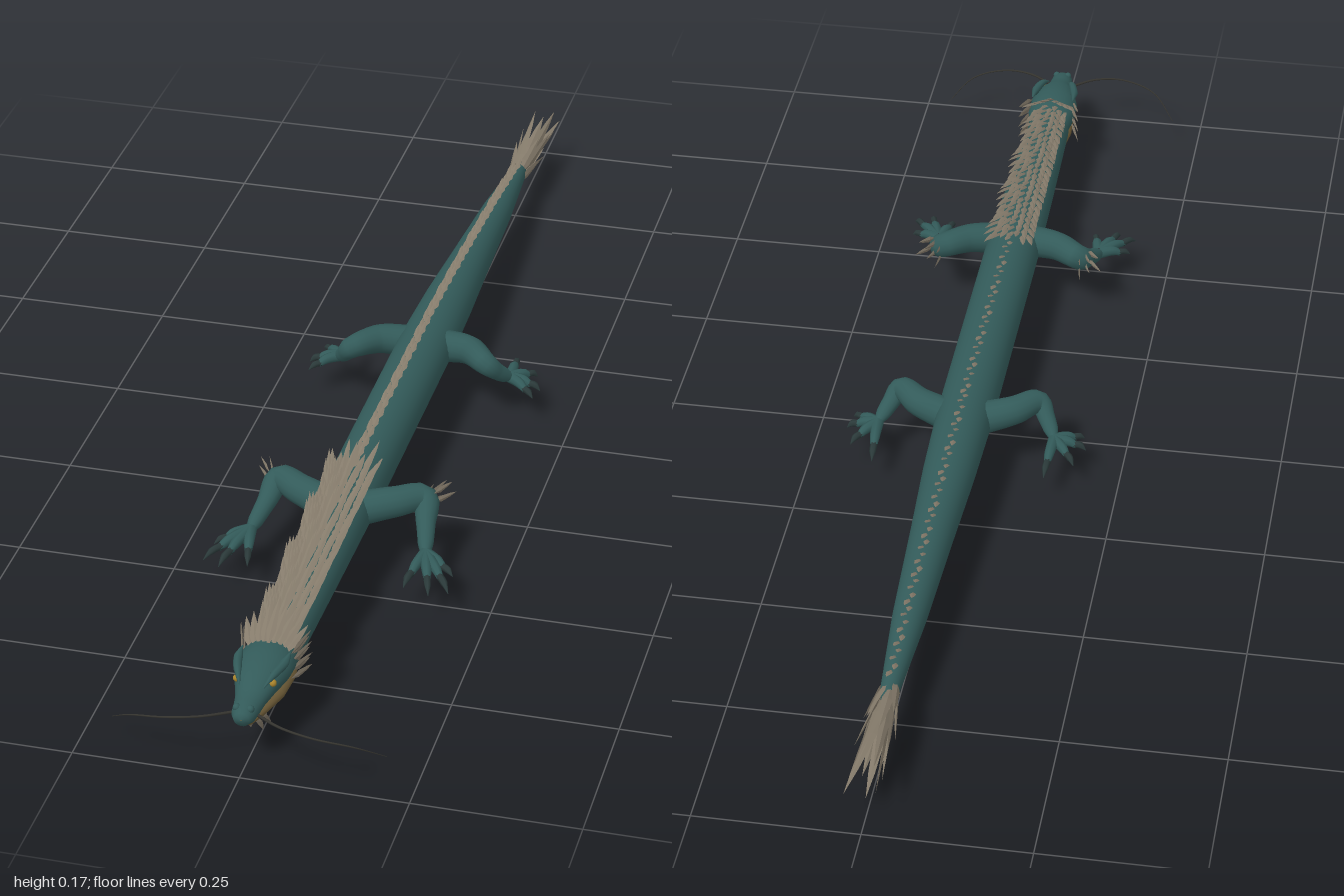
import * as THREE from 'three';
import { mergeGeometries } from 'three/addons/utils/BufferGeometryUtils.js';

const mat = (name, color) => {
  const m = new THREE.MeshStandardMaterial({ color });
  m.name = name;
  return m;
};
const V = (x, y, z) => new THREE.Vector3(x, y, z);

// sections along z, front to back: [z, centre y, half width, half height]
const BODY = [
  [0.87, 0.088, 0.03, 0.028], [0.8, 0.087, 0.036, 0.034], [0.6, 0.093, 0.041, 0.04],
  [0.4, 0.098, 0.045, 0.045], [-0.1, 0.098, 0.045, 0.045], [-0.25, 0.095, 0.041, 0.042],
  [-0.4, 0.09, 0.034, 0.037], [-0.6, 0.083, 0.026, 0.028], [-0.77, 0.075, 0.014, 0.016],
  [-0.82, 0.073, 0.001, 0.001],
];
const HEAD = [
  [0.985, 0.088, 0.001, 0.001], [0.983, 0.088, 0.012, 0.011], [0.972, 0.089, 0.018, 0.016],
  [0.955, 0.089, 0.02, 0.017], [0.935, 0.092, 0.023, 0.018], [0.91, 0.098, 0.031, 0.023],
  [0.87, 0.1, 0.041, 0.028], [0.835, 0.097, 0.041, 0.03], [0.8, 0.093, 0.034, 0.028],
  [0.76, 0.09, 0.02, 0.02],
];
const JAW = [
  [0.968, 0.072, 0.001, 0.001], [0.962, 0.072, 0.012, 0.007], [0.93, 0.069, 0.021, 0.011],
  [0.88, 0.067, 0.034, 0.015], [0.83, 0.067, 0.037, 0.016], [0.77, 0.07, 0.03, 0.018],
  [0.72, 0.075, 0.02, 0.018],
];

function loft(sections, n = 24) {
  const pos = [], idx = [];
  sections.forEach(([z, y, rx, ry], i) => {
    for (let j = 0; j < n; j++) {
      const a = (j / n) * Math.PI * 2;
      pos.push(Math.cos(a) * rx, y + Math.sin(a) * ry, z);
      if (i === sections.length - 1) continue;
      const p = i * n + j, q = i * n + ((j + 1) % n);
      idx.push(p, p + n, q, q, p + n, q + n);
    }
  });
  const g = new THREE.BufferGeometry();
  g.setAttribute('position', new THREE.Float32BufferAttribute(pos, 3));
  g.setIndex(idx);
  g.computeVertexNormals();
  return g;
}

function sample(sections, z) {
  let i = 0;
  while (i < sections.length - 2 && z < sections[i + 1][0]) i++;
  const a = sections[i], b = sections[i + 1];
  const t = (a[0] - z) / (a[0] - b[0]);
  return a.map((v, k) => v + (b[k] - v) * t);
}

// tube whose radius follows a list spread evenly along its path
function taper(points, radii, seg = 20, sides = 12) {
  const curve = new THREE.CatmullRomCurve3(points);
  const g = new THREE.TubeGeometry(curve, seg, 1, sides);
  const p = g.attributes.position, nrm = g.attributes.normal;
  for (let i = 0; i <= seg; i++) {
    const c = curve.getPointAt(i / seg);
    const f = (i / seg) * (radii.length - 1), k = Math.min(Math.floor(f), radii.length - 2);
    const r = radii[k] + (radii[k + 1] - radii[k]) * (f - k);
    for (let j = 0; j <= sides; j++) {
      const v = i * (sides + 1) + j;
      p.setXYZ(v, c.x + nrm.getX(v) * r, c.y + nrm.getY(v) * r, c.z + nrm.getZ(v) * r);
    }
  }
  return g;
}

// ridged leaf-shaped blade, broad along the given axis
const leaf = new THREE.LatheGeometry([[0, 0], [0.5, 0.35], [0.3, 0.72], [0, 1]].map(([x, y]) => new THREE.Vector2(x, y)), 4)
  .toNonIndexed();
leaf.computeVertexNormals();
function blade(base, dir, length, width, wide = V(1, 0, 0)) {
  const y = dir.clone().normalize();
  const z = wide.clone().cross(y).normalize(), x = y.clone().cross(z);
  const m = new THREE.Matrix4().makeBasis(x, y, z).setPosition(base);
  return leaf.clone().scale(width, length, width * 0.3).applyMatrix4(m);
}

export function createModel() {
  const root = new THREE.Group();
  const skin = mat('teal skin', 0x335b5a), hair = mat('tan spines', 0x857b6b), throat = mat('ochre throat', 0x6e5c38);
  const claw = mat('dark claws', 0x2b3a3a), eye = mat('amber eyes', 0xa8842c), whisker = mat('dark whiskers', 0x35342f);
  const add = (name, geo, m, parent = root) => {
    const mesh = new THREE.Mesh(geo, m);
    mesh.name = name;
    parent.add(mesh);
    return mesh;
  };

  add('body', loft(BODY, 32), skin);
  add('head', loft(HEAD), skin);
  add('lowerJaw', loft(JAW), throat);

  // mane: staggered rows on neck and shoulders
  const mane = [];
  for (let i = 0; i < 24; i++) {
    for (let r = -3; r <= 3; r++) {
      const z = 0.385 + i * 0.0195 + (r % 2 ? 0.009 : 0);
      const [, y, rx, ry] = sample(BODY, z);
      const a = r * 0.21;
      const wobble = Math.sin(i * 7.3 + r * 4.1);
      mane.push(blade(V(Math.sin(a) * rx * 0.96, y + Math.cos(a) * ry * 0.96, z),
        V(Math.sin(a) * 0.45, 0.38 - Math.abs(r) * 0.04 + wobble * 0.1, -1), 0.062 + wobble * 0.012, 0.011));
    }
  }
  // crown fan behind the forehead
  for (let r = -4; r <= 4; r++) {
    mane.push(blade(V(r * 0.006, 0.122 - Math.abs(r) * 0.002, 0.85),
      V(r * 0.1, 0.6 - Math.abs(r) * 0.06, -1), 0.085 - Math.abs(r) * 0.005, 0.014));
  }
  add('mane', mergeGeometries(mane), hair);

  // spine ridge down the back to the tail
  const ridge = [];
  for (let i = 0; i < 76; i++) {
    const z = 0.385 - i * 0.015;
    const [, y, , ry] = sample(BODY, z);
    const side = i % 2 ? 1 : -1;
    ridge.push(blade(V(side * 0.002, y + ry * 0.97, z), V(side * 0.08, 0.42 + 0.1 * Math.sin(i * 5), -1), 0.03, 0.01));
  }
  add('spineRidge', mergeGeometries(ridge), hair);

  // tail tuft
  const tuft = [];
  for (let i = 0; i < 18; i++) {
    const a = i * 2.4, spread = 0.24 - i * 0.009;
    tuft.push(blade(V(Math.cos(a) * 0.009, 0.075 + Math.sin(a) * 0.009, -0.735 - i * 0.004),
      V(Math.cos(a) * spread * 0.75, Math.sin(a) * spread, -1), 0.1 + i * 0.0055, 0.017, V(-Math.sin(a), Math.cos(a), 0)));
  }
  tuft.push(blade(V(0, 0.074, -0.79), V(0.12, -0.02, -1), 0.21, 0.016));
  add('tailTuft', mergeGeometries(tuft), hair);

  // beard
  const beard = [blade(V(0, 0.062, 0.9), V(0, -1, -0.65), 0.075, 0.017)];
  for (const s of [-1, 1]) {
    beard.push(blade(V(s * 0.007, 0.06, 0.915), V(s * 0.16, -1, -0.7), 0.058, 0.014),
      blade(V(s * 0.016, 0.062, 0.88), V(s * 0.2, -0.6, -1), 0.045, 0.013),
      blade(V(s * 0.006, 0.06, 0.93), V(s * 0.08, -1, -0.6), 0.045, 0.012));
  }
  add('beard', mergeGeometries(beard), hair);

  for (const s of [-1, 1]) {
    const P = (x, y, z) => V(s * x, y, z);
    const side = s > 0 ? 'left' : 'right';

    // face
    const eyeball = add(side + 'Eye', new THREE.SphereGeometry(0.0055, 12, 8), eye);
    eyeball.position.set(s * 0.027, 0.109, 0.913);
    add(side + 'Brow', taper([P(0.018, 0.11, 0.93), P(0.026, 0.119, 0.91), P(0.034, 0.121, 0.88), P(0.036, 0.122, 0.85)],
      [0.001, 0.006, 0.007, 0.001], 12, 8), skin);
    const nostril = add(side + 'Nostril', new THREE.SphereGeometry(0.006, 10, 8), skin);
    nostril.position.set(s * 0.01, 0.1, 0.971);
    const cheek = [];
    for (let i = 0; i < 7; i++) {
      cheek.push(blade(P(0.036, 0.076 + i * 0.007, 0.85 - (i % 2) * 0.012),
        P(0.34, -0.1 + i * 0.06, -1), 0.055 - (i % 2) * 0.012, 0.012, V(0, 1, 0)));
    }
    add(side + 'CheekSpines', mergeGeometries(cheek), hair);
    add(side + 'Whisker', taper([P(0.016, 0.084, 0.96), P(0.06, 0.087, 0.988), P(0.11, 0.084, 0.998), P(0.165, 0.07, 0.985), P(0.204, 0.037, 0.95)],
      [0.0025, 0.0018, 0.0014, 0.0005], 32, 6), whisker);

    // legs: bent limb, then toes ending in claws
    const leg = (name, path, tips) => {
      const g = new THREE.Group();
      g.name = side + name;
      root.add(g);
      add('limb', taper(path.map(p => P(...p)), [0.027, 0.025, 0.023, 0.02, 0.015, 0.012, 0.001], 28, 14), skin, g);
      const foot = P(...path[path.length - 2]);
      for (const t of tips) {
        const tip = P(...t);
        const knuckle = foot.clone().lerp(tip, 0.45).setY(0.062), end = foot.clone().lerp(tip, 0.68).setY(0.055);
        add('toe', taper([foot, knuckle, end], [0.01, 0.009, 0.008, 0.005], 10, 8), skin, g);
        add('claw', taper([knuckle.clone().lerp(end, 0.7), end.clone().lerp(tip, 0.4).setY(0.056), tip],
          [0.006, 0.0055, 0.0003], 8, 6), claw, g);
      }
      return g;
    };
    const front = leg('FrontLeg',
      [[0.025, 0.103, 0.42], [0.075, 0.11, 0.4], [0.115, 0.108, 0.375], [0.126, 0.086, 0.41], [0.138, 0.064, 0.46], [0.143, 0.058, 0.48]],
      [[0.192, 0.046, 0.535], [0.164, 0.046, 0.548], [0.122, 0.046, 0.535], [0.188, 0.048, 0.49]]);
    leg('HindLeg',
      [[0.025, 0.1, -0.1], [0.075, 0.108, -0.082], [0.112, 0.106, -0.048], [0.127, 0.086, -0.062], [0.143, 0.064, -0.088], [0.148, 0.058, -0.1]],
      [[0.138, 0.046, -0.17], [0.18, 0.046, -0.13], [0.194, 0.046, -0.085], [0.188, 0.048, -0.055]]);

    // elbow tuft
    const elbow = [];
    for (let i = 0; i < 6; i++) {
      elbow.push(blade(P(0.116 + (i % 3) * 0.007, 0.094 + i * 0.005, 0.378), P(0.15 + (i % 3) * 0.3, -0.1 + i * 0.07, -1),
        0.046 - (i % 2) * 0.008, 0.011, V(0, 1, 0)));
    }
    add('elbowTuft', mergeGeometries(elbow), hair, front);
  }
  return root;
}
